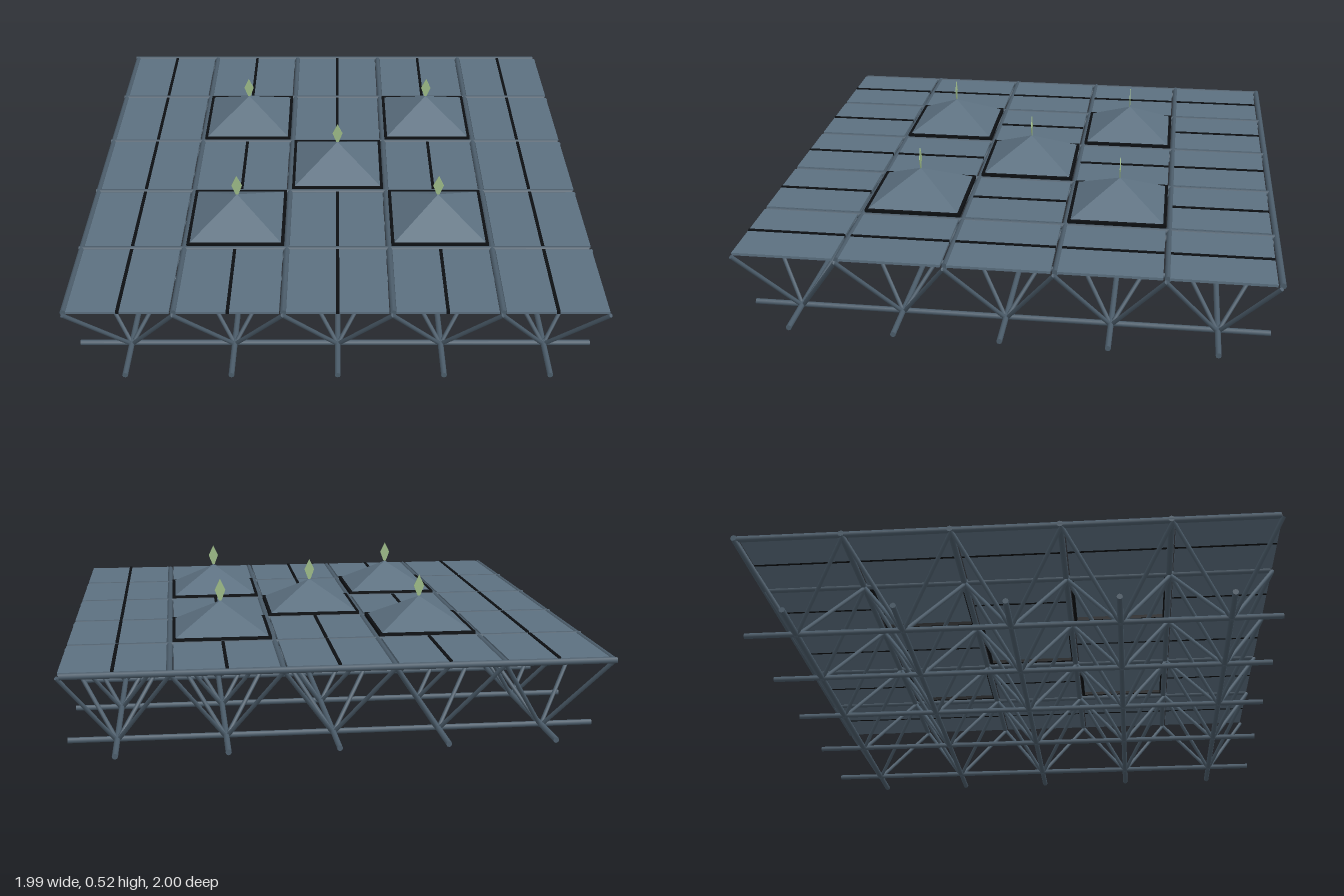
import * as THREE from 'three';

const PITCH = 0.3975, MID = 0.008, N = 5;
const centre = i => MID + (i - 2) * PITCH;
const node = i => Math.min(centre(i) - PITCH / 2, 0.992);

export function createModel() {
  const model = new THREE.Group();
  const mat = (name, color, side = THREE.FrontSide) => {
    const m = new THREE.MeshStandardMaterial({ color, side });
    m.name = name;
    return m;
  };
  const steel = mat('steel', 0x4c5d6b);
  const glass = mat('blue grey panel', 0x5c7080, THREE.DoubleSide);
  const black = mat('black trim', 0x0c0f12);
  const green = mat('pale green', 0x9dbb88, THREE.DoubleSide);

  const add = (name, geometry, material, x = 0, y = 0, z = 0, parent = model) => {
    const mesh = new THREE.Mesh(geometry, material);
    mesh.name = name;
    mesh.position.set(x, y, z);
    parent.add(mesh);
    return mesh;
  };
  const box = (name, w, h, d, material, x, y, z, parent) =>
    add(name, new THREE.BoxGeometry(w, h, d), material, x, y, z, parent);

  // Round bar between two points
  const up = new THREE.Vector3(0, 1, 0);
  const bar = (name, a, b, r, parent) => {
    const from = new THREE.Vector3(...a), to = new THREE.Vector3(...b);
    const dir = to.clone().sub(from);
    const mesh = add(name, new THREE.CylinderGeometry(r, r, dir.length(), 8), steel, 0, 0, 0, parent);
    mesh.position.copy(from).add(to).multiplyScalar(0.5);
    mesh.quaternion.setFromUnitVectors(up, dir.normalize());
  };

  // Space frame: top chords on the cell edges, bottom chords under the cell centres
  const frame = new THREE.Group();
  frame.name = 'spaceFrame';
  model.add(frame);
  for (let i = 0; i < N; i++) {
    const n = node(i), c = centre(i);
    bar('topChordAcross', [-0.995, 0.319, n - 0.005], [0.982, 0.319, n - 0.005], 0.012, frame);
    bar('topChordAlong', [n + 0.002, 0.319, -0.985], [n + 0.002, 0.319, 0.985], 0.012, frame);
    bar('bottomChordAcross', [-0.985, 0.021, c], [0.982, 0.021, c], 0.011, frame);
    bar('bottomChordAlong', [c, 0.021, -0.982], [c, 0.021, 0.988], 0.011, frame);
  }

  // Pale kite-shaped marker
  const kite = new THREE.Shape([[-0.005, 0], [0.005, 0], [0.021, 0.042], [0, 0.086], [-0.021, 0.042]]
    .map(p => new THREE.Vector2(...p)));
  const kiteGeometry = new THREE.ExtrudeGeometry(kite, { depth: 0.003, bevelEnabled: false });

  // Open four-sided skylight with one face toward each side
  const skylightGeometry = new THREE.ConeGeometry(0.186 * Math.SQRT2, 0.112, 4, 1, true).toNonIndexed();
  skylightGeometry.rotateY(Math.PI / 4);
  skylightGeometry.computeVertexNormals();

  const addSkylight = (x, z) => {
    const skylight = new THREE.Group();
    skylight.name = 'skylight';
    skylight.position.set(x, 0, z);
    model.add(skylight);
    add('skylightGlass', skylightGeometry, glass, 0, 0.388, 0, skylight);
    for (const s of [-1, 1]) {
      box('curbAcross', 0.378, 0.014, 0.012, black, 0, 0.331, s * 0.183, skylight);
      box('curbAlong', 0.012, 0.014, 0.354, black, s * 0.183, 0.331, 0, skylight);
    }
    add('marker', kiteGeometry, green, 0, 0.444, -0.0015, skylight);
  };

  for (let i = 0; i < N; i++) {
    for (let j = 0; j < N; j++) {
      const x = centre(i), z = centre(j);
      // Four diagonals rise from each lower joint to the cell corners
      for (const a of [i, i + 1]) for (const b of [j, j + 1])
        bar('diagonal', [x, 0.013, z], [node(a), 0.313, node(b)], 0.008, frame);

      // Skylights on the centre cell and the inner diagonals, flat panels elsewhere
      const di = Math.abs(i - 2), dj = Math.abs(j - 2);
      if (di === dj && di < 2) {
        addSkylight(x, z);
      } else {
        for (const s of [-1, 1])
          box('roofPanel', 0.18, 0.01, 0.374, glass, x + s * 0.096, 0.323, z);
        box('panelSeam', 0.012, 0.014, 0.374, black, x, 0.325, z);
      }
    }
  }
  return model;
}
